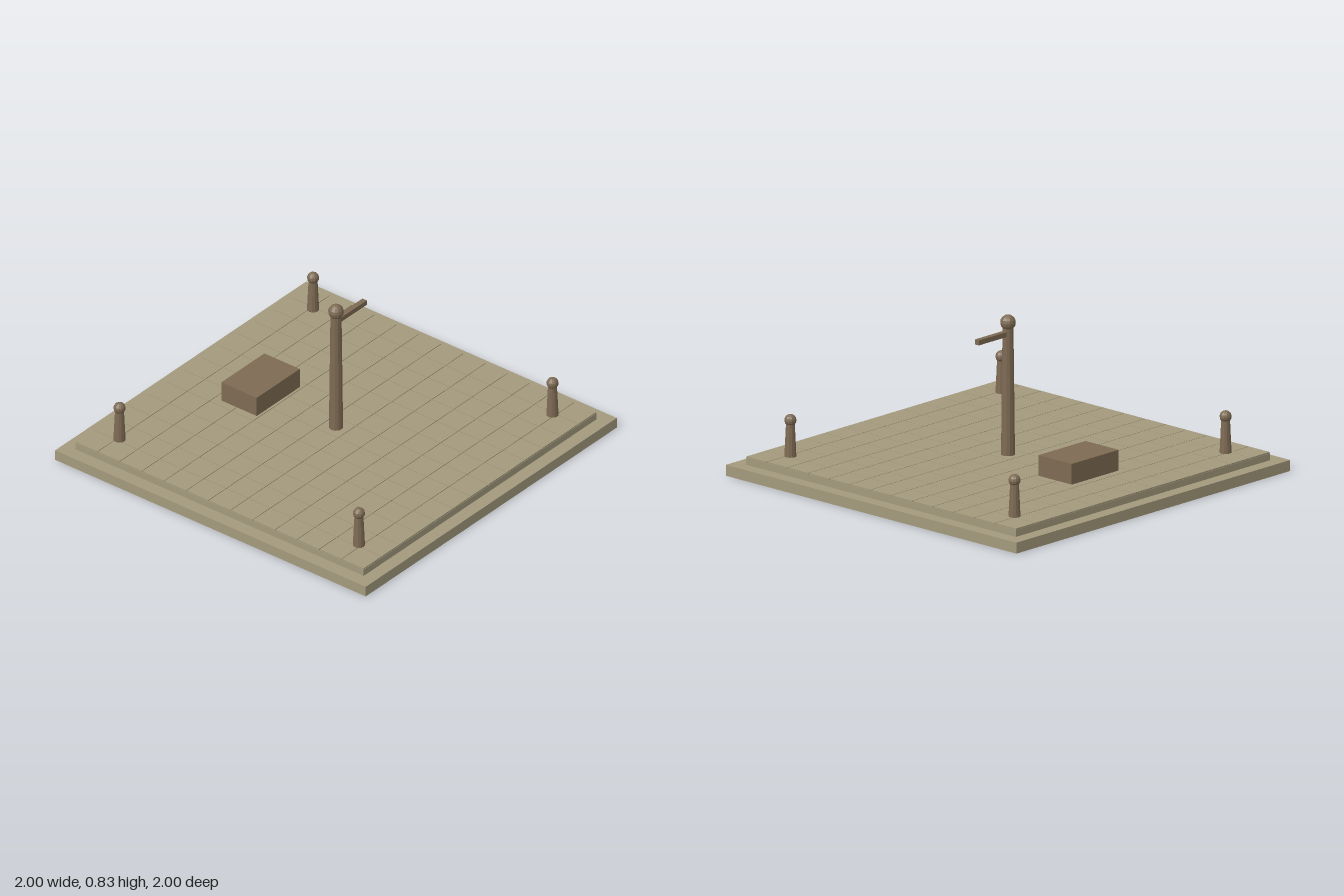
import * as THREE from 'three';

export function createModel() {
  const model = new THREE.Group();
  model.name = 'pavedSquare';
  const stone = new THREE.MeshStandardMaterial({ color: 0xa3997c });
  stone.name = 'sandy stone';
  const brown = new THREE.MeshStandardMaterial({ color: 0x7d6a53, flatShading: true });
  brown.name = 'weathered brown';
  const U = 1 / 7; // one paving module

  function add(name, geometry, material, x, y, z, parent = model) {
    const mesh = new THREE.Mesh(geometry, material);
    mesh.name = name;
    mesh.position.set(x, y, z);
    parent.add(mesh);
    return mesh;
  }

  // Box resting on height y0
  function slab(name, w, h, d, material, x, y0, z, parent) {
    return add(name, new THREE.BoxGeometry(w, h, d), material, x, y0 + h / 2, z, parent);
  }

  // Stepped platform
  slab('baseSlab', 2, 0.057, 2, stone, 0, 0, 0);
  slab('upperSlab', 13 * U, 0.036, 13 * U, stone, 0, 0.057, 0);

  // Paving tiles with narrow joints
  const paving = new THREE.Group();
  paving.name = 'paving';
  model.add(paving);
  const tile = new THREE.BoxGeometry(U * 0.975, 0.007, U * 0.975);
  for (let i = -6; i <= 6; i++) {
    for (let j = -6; j <= 6; j++) {
      add('tile', tile, stone, i * U, 0.0965, j * U, paving);
    }
  }

  // Tapered post with a ball on top
  function post(name, x, z, rTop, rBottom, ballY, ballR) {
    const group = new THREE.Group();
    group.name = name;
    group.position.set(x, 0, z);
    model.add(group);
    const h = ballY - 0.1;
    add('shaft', new THREE.CylinderGeometry(rTop, rBottom, h, 12), brown, 0, 0.1 + h / 2, 0, group);
    add('ball', new THREE.SphereGeometry(ballR, 12, 8), brown, 0, ballY, 0, group);
    return group;
  }

  for (const x of [-0.771, 0.771]) {
    for (const z of [-0.771, 0.771]) post('cornerBollard', x, z, 0.022, 0.031, 0.288, 0.031);
  }

  // Central pole with its side arm
  const pole = post('centralPole', 0, 0, 0.028, 0.036, 0.789, 0.04);
  slab('arm', 0.228, 0.026, 0.028, brown, 0.114, 0.72, 0, pole);

  // Block behind the pole
  slab('block', 0.343, 0.108, 0.228, brown, 0, 0.1, -0.486);

  return model;
}
